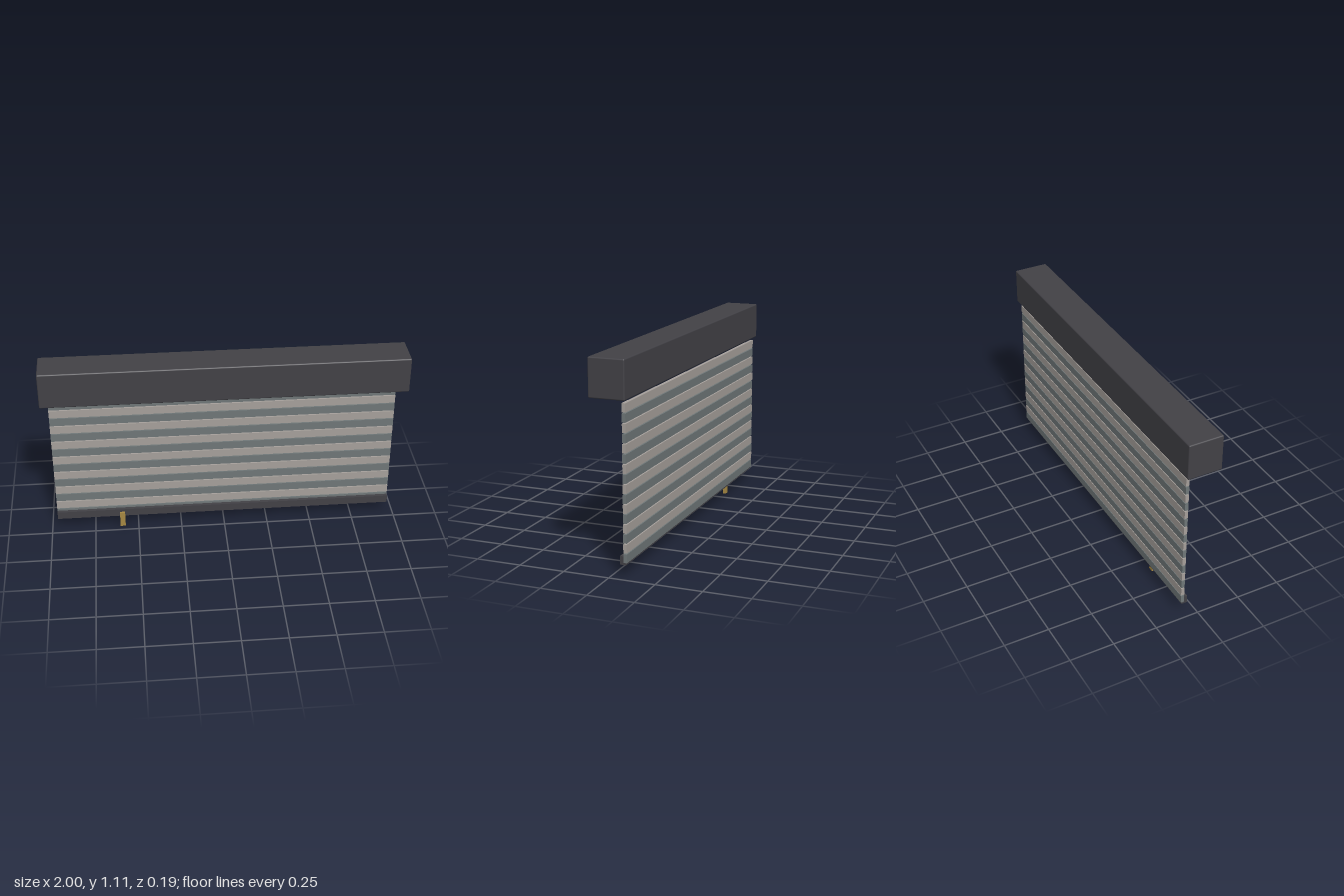
import * as THREE from 'three';
import { RoundedBoxGeometry } from 'three/addons/geometries/RoundedBoxGeometry.js';

function material(name, color) {
  const m = new THREE.MeshStandardMaterial({ color });
  m.name = name;
  return m;
}

export function createModel() {
  const group = new THREE.Group();
  group.name = 'rollerShutter';

  const charcoal = material('charcoal', 0x424146);
  const lightGrey = material('warm light grey', 0xa6a09b);
  const darkGrey = material('slate grey', 0x6f7778);
  const brass = material('brass', 0xa68842);

  function add(name, geometry, mat, x, y, z) {
    const mesh = new THREE.Mesh(geometry, mat);
    mesh.name = name;
    mesh.position.set(x, y, z);
    group.add(mesh);
    return mesh;
  }

  // Housing box with softly rounded edges
  add('housing', new RoundedBoxGeometry(2, 0.204, 0.195, 2, 0.007), charcoal, 0, 1.01, 0);

  // Curtain of slats in alternating colours, with narrow gaps between them
  const slatCount = 16;
  const slatPitch = 0.0512;
  const slatGeometry = new THREE.BoxGeometry(1.932, 0.0455, 0.019);
  for (let i = 0; i < slatCount; i++) {
    add(`slat${i + 1}`, slatGeometry, i % 2 ? darkGrey : lightGrey, 0, 0.867 - i * slatPitch, -0.0755);
  }

  // Bottom bar, in front of the lowest slat
  add('bottomBar', new THREE.BoxGeometry(1.93, 0.045, 0.033), charcoal, 0, 0.0875, -0.0635);

  // Pull tab hanging from the bar
  add('pullTab', new THREE.BoxGeometry(0.03, 0.093, 0.019), brass, -0.591, 0.0465, -0.0445);

  return group;
}
